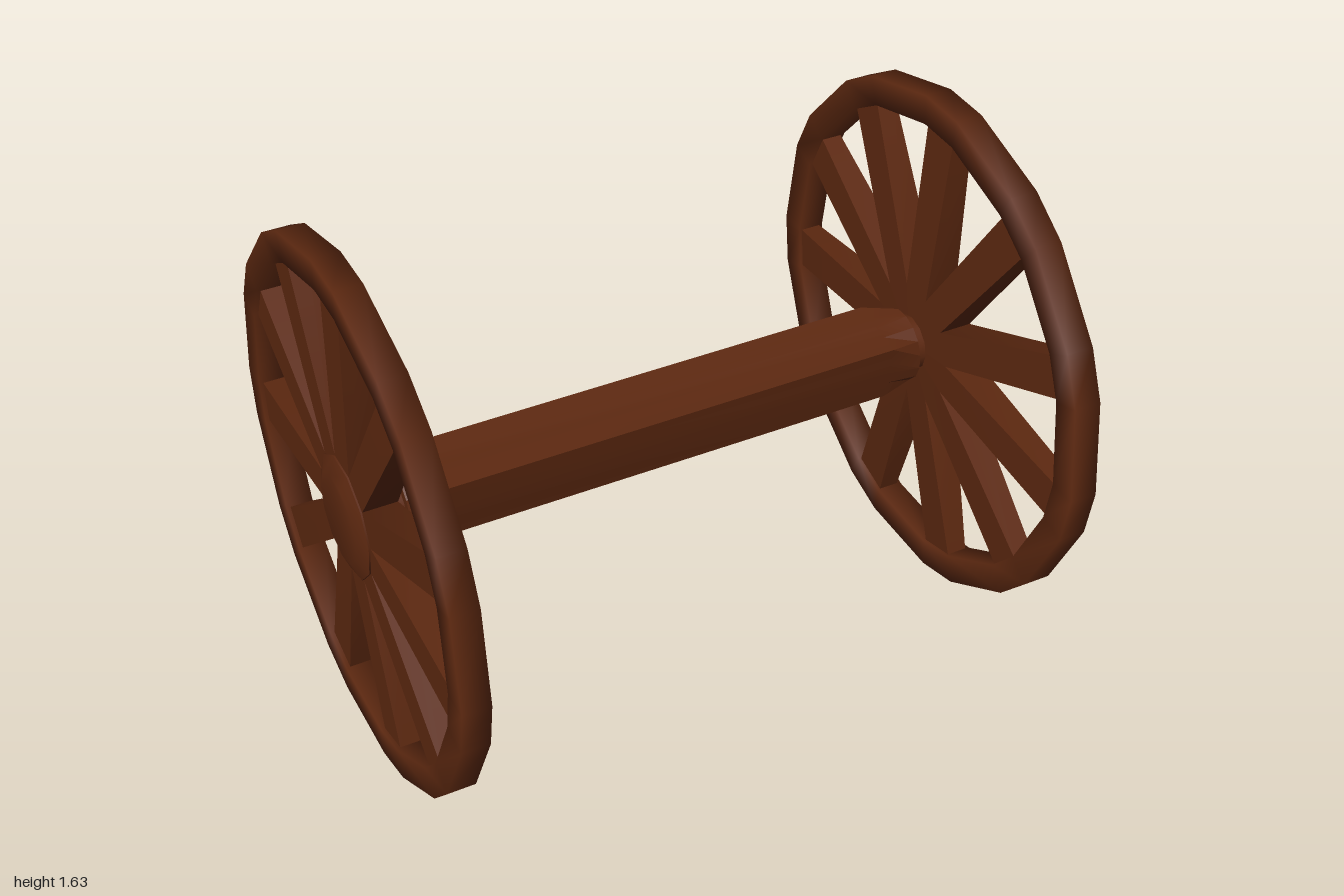
import * as THREE from 'three';
import { toCreasedNormals } from 'three/addons/utils/BufferGeometryUtils.js';

const SPOKES = 11;
const STEP = (Math.PI * 2) / SPOKES;
const AXLE_Y = 0.812;
const wood = new THREE.MeshStandardMaterial({ color: 0x5c2810 });

// Skin a row of equal-sized cross-sections; points run counter-clockwise about the direction of travel
function loft(sections, closed = false) {
  const m = sections.length, n = sections[0].length, index = [];
  for (let i = 0; i < (closed ? m : m - 1); i++) {
    for (let j = 0; j < n; j++) {
      const k = (j + 1) % n, next = (i + 1) % m;
      const a = i * n + j, b = i * n + k, c = next * n + k, d = next * n + j;
      index.push(a, b, c, a, c, d);
    }
  }
  if (!closed) {
    const e = (m - 1) * n;
    for (let j = 1; j < n - 1; j++) index.push(0, j + 1, j, e, e + j, e + j + 1);
  }
  const g = new THREE.BufferGeometry();
  g.setAttribute('position', new THREE.Float32BufferAttribute(sections.flat(2), 3));
  g.setIndex(index);
  g.computeVertexNormals();
  return g;
}

// Cross-section around the x axis; radius may depend on the point number
function ring(x, sides, start, radius) {
  return Array.from({ length: sides }, (_, j) => {
    const t = start + (j / sides) * Math.PI * 2;
    const r = typeof radius === 'function' ? radius(j) : radius;
    return [x, r * Math.cos(t), r * Math.sin(t)];
  });
}

function part(name, geometry, parent) {
  const mesh = new THREE.Mesh(geometry, wood);
  mesh.name = name;
  parent.add(mesh);
  return mesh;
}

// Rim: square section with two bends at every spoke, softly shaded
function rimGeometry() {
  const sections = [];
  for (let k = 0; k < SPOKES; k++) {
    for (const side of [-1, 1]) {
      const t = k * STEP + side * 0.099;
      const at = (x, r) => [x, r * Math.cos(t), r * Math.sin(t)];
      sections.push([at(0.895, 0.73), at(0.98, 0.73), at(0.98, 0.82), at(0.895, 0.82)]);
    }
  }
  return loft(sections, true);
}

// Spoke: wedge at the centre, widening gently and thinning toward the rim
function spokeGeometry() {
  const stations = [ // radius, half width, inner x, outer x
    [0.02, 0.006, 0.863, 0.975],
    [0.182, 0.0535, 0.871, 0.975],
    [0.755, 0.066, 0.904, 0.967],
  ];
  const g = loft(stations.map(([r, h, xi, xo]) => [[xi, r, -h], [xi, r, h], [xo, r, h], [xo, r, -h]]));
  return toCreasedNormals(g, 0.3);
}

// Wheel facing +x
function makeWheel(name) {
  const wheel = new THREE.Group();
  wheel.name = name;
  part('rim', rimGeometry(), wheel);
  const spoke = spokeGeometry();
  for (let k = 0; k < SPOKES; k++) part('spoke', spoke, wheel).rotation.x = k * STEP;

  // Hub cap with bevelled outer face
  const hub = [[0.93, 0.187], [0.98, 0.187], [1.0, 0.135]];
  part('hubCap', toCreasedNormals(loft(hub.map(([x, r]) => ring(x, SPOKES, STEP / 2, r))), 0.6), wheel);

  // Narrow neck joining the wheel to the axle
  part('axleNeck', toCreasedNormals(loft([0.8, 0.9].map((x) => ring(x, 12, 0, 0.088))), 0.6), wheel);
  return wheel;
}

export function createModel() {
  const model = new THREE.Group();
  model.name = 'wheelAxle';

  for (const side of [1, -1]) {
    const wheel = makeWheel(side > 0 ? 'leftWheel' : 'rightWheel');
    wheel.rotation.set(0.02, side > 0 ? 0 : Math.PI, 0);
    wheel.position.y = AXLE_Y;
    model.add(wheel);
  }

  // Axle beam: slightly rolled square bar whose ends blend into round collars
  const sides = 16, roll = 0.96;
  const square = (j) => 0.099 / Math.cos(((j % 4) / 4 - 0.5) * (Math.PI / 2));
  const beam = loft([
    ring(-0.83, sides, roll, 0.115),
    ring(-0.73, sides, roll, square),
    ring(0.73, sides, roll, square),
    ring(0.83, sides, roll, 0.115),
  ]);
  part('axleBeam', toCreasedNormals(beam, 0.3), model).position.y = AXLE_Y + 0.004;

  return model;
}
